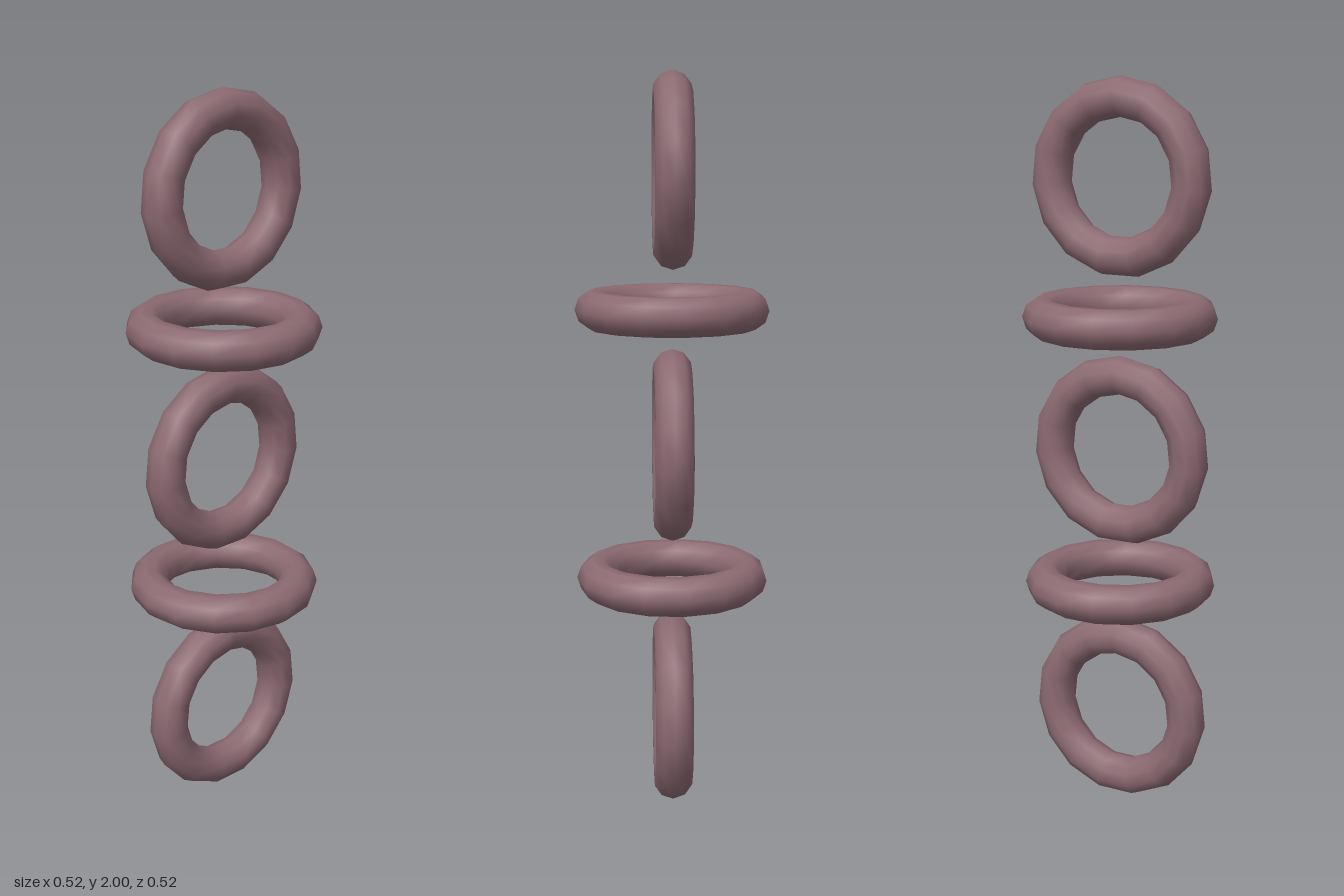
import * as THREE from 'three';

export function createModel() {
  const group = new THREE.Group();
  group.name = 'ringChain';
  const mauve = new THREE.MeshStandardMaterial({ color: 0x8c6a72 });
  mauve.name = 'dusty mauve';

  // One coarse, smooth-shaded ring shared by the whole stack
  const ring = new THREE.TorusGeometry(0.209, 0.053, 10, 15);

  // Upright and flat rings alternate from the bottom to the top
  const heights = [0.263, 0.635, 1.006, 1.375, 1.741];
  heights.forEach((y, i) => {
    const flat = i % 2 === 1;
    const mesh = new THREE.Mesh(ring, mauve);
    mesh.name = (flat ? 'flatRing' : 'uprightRing') + (i + 1);
    mesh.position.y = y;
    // Turn a corner to the top of upright rings; lay the others down
    mesh.rotation.set(flat ? Math.PI / 2 : 0, 0, Math.PI / 2);
    group.add(mesh);
  });
  return group;
}
